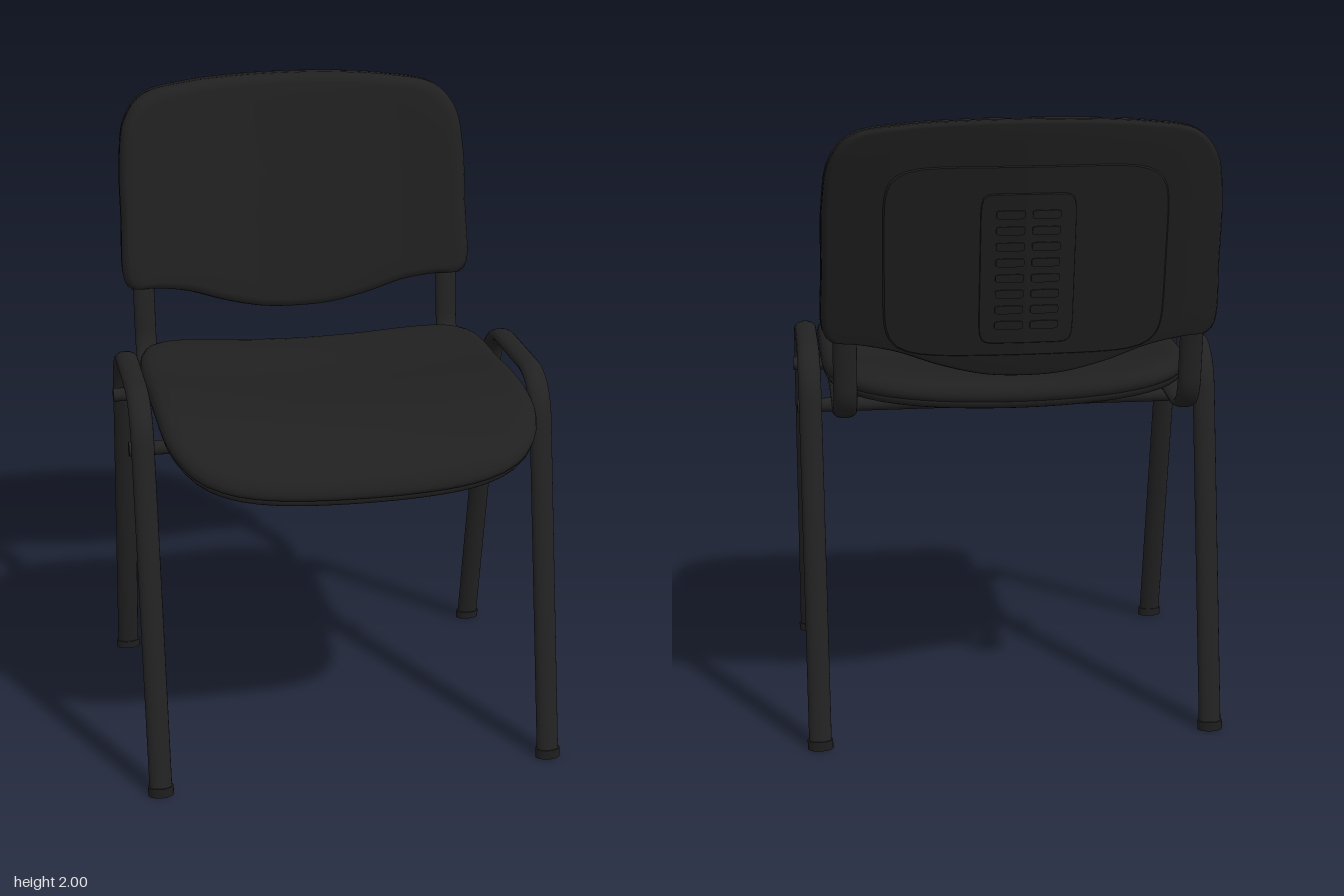
import * as THREE from 'three';

const fabric = new THREE.MeshStandardMaterial({ color: 0x202020 });
fabric.name = 'black fabric';
const metal = new THREE.MeshStandardMaterial({ color: 0x222222 });
metal.name = 'black metal';
const plastic = new THREE.MeshStandardMaterial({ color: 0x1e1e1e });
plastic.name = 'black plastic';

const v3 = (x, y, z) => new THREE.Vector3(x, y, z);

function add(parent, name, geometry, material, x = 0, y = 0, z = 0) {
  const mesh = new THREE.Mesh(geometry, material);
  mesh.name = name;
  mesh.position.set(x, y, z);
  parent.add(mesh);
  return mesh;
}

// Closed outline with rounded-rectangle character
function superellipse(cx, cy, hx, hy, n, count = 96) {
  return Array.from({ length: count }, (_, i) => {
    const a = (i / count) * Math.PI * 2, c = Math.cos(a), s = Math.sin(a);
    const r = (Math.abs(c) ** n + Math.abs(s) ** n) ** (-1 / n);
    return [cx + hx * r * c, cy + hy * r * s];
  });
}

// Stack of scaled outlines [scale, depth], bent into place by map(u, v, depth)
function cushion(outline, [cu, cv], rings, map) {
  const n = outline.length, pos = [], idx = [];
  rings.forEach(([s, d], i) => outline.forEach(([u, v], j) => {
    pos.push(...map(cu + (u - cu) * s, cv + (v - cv) * s, d));
    if (i === rings.length - 1) return;
    const a = i * n + j, b = i * n + (j + 1) % n, c = a + n, e = b + n;
    idx.push(a, c, b, b, c, e);
  }));
  const g = new THREE.BufferGeometry();
  g.setAttribute('position', new THREE.Float32BufferAttribute(pos, 3));
  g.setIndex(idx);
  g.computeVertexNormals();
  return g;
}

// Flat face as several rings, so that it can bend
const face = (d, from, to, steps = 7) => Array.from({ length: steps + 1 },
  (_, i) => [from + (to - from) * i / steps, d]);

// Oval tube in the side plane through [z, y] points, with rounded corners
function ovalTube(points, radius, bend, widen) {
  const p = points.map(([z, y]) => v3(0, y, z));
  const path = new THREE.CurvePath();
  let start = p[0];
  for (let i = 1; i < p.length - 1; i++) {
    const a = p[i].clone().add(p[i - 1].clone().sub(p[i]).setLength(bend));
    const b = p[i].clone().add(p[i + 1].clone().sub(p[i]).setLength(bend));
    path.add(new THREE.LineCurve3(start, a));
    path.add(new THREE.QuadraticBezierCurve3(a, p[i], b));
    start = b;
  }
  path.add(new THREE.LineCurve3(start, p[p.length - 1]));
  return new THREE.TubeGeometry(path, 120, radius, 16).scale(widen, 1, 1);
}

// Seat: dished across, with a front edge that rolls down
const seatProfile = new THREE.SplineCurve([[-0.42, 1.15], [-0.25, 1.155], [0, 1.145], [0.2, 1.155],
  [0.4, 1.15], [0.55, 1.115], [0.65, 1.072], [0.74, 1.025]].map(p => new THREE.Vector2(...p))).getPoints(80);
function seatHeight(z) {
  const i = Math.max(1, seatProfile.findIndex(p => p.x >= z));
  const a = seatProfile[i - 1], b = seatProfile[i];
  return a.y + (b.y - a.y) * (z - a.x) / (b.x - a.x);
}
const seatMap = (u, v, d) => [u, seatHeight(-v) + 0.05 * (u / 0.58) ** 2 - d, -v];

// Backrest: leaning backward and curved around the sitter
const backMap = (u, v, d) => [u, v, -0.48 - 0.18 * (v - 1.33) + 0.21 * u * u - d];

function backOutline() {
  const half = [[0, 1.22], [0.12, 1.227], [0.25, 1.257], [0.38, 1.3], [0.5, 1.32], [0.57, 1.326],
    [0.592, 1.36], [0.592, 1.55], [0.588, 1.75], [0.565, 1.88], [0.5, 1.955], [0.35, 1.985], [0.18, 1.997], [0, 2]];
  const other = half.slice(1, -1).reverse().map(([x, y]) => [-x, y]);
  const curve = new THREE.CatmullRomCurve3([...half, ...other].map(([x, y]) => v3(x, y, 0)), true);
  return curve.getSpacedPoints(140).slice(0, -1).map(p => [p.x, p.y]);
}

export function createModel() {
  const model = new THREE.Group();
  model.name = 'chair';

  // Seat pad and the shell beneath it
  const seat = new THREE.Group();
  seat.name = 'seat';
  model.add(seat);
  const seatLine = superellipse(0, -0.158, 0.583, 0.543, 5);
  add(seat, 'seatPad', cushion(seatLine, [0, -0.158], [...face(0, 0, 0.9, 10), [0.95, 0.004], [0.98, 0.014],
    [0.995, 0.028], [1, 0.04], [0.995, 0.053], [0.98, 0.06], ...face(0.06, 0.95, 0)], seatMap), fabric);
  add(seat, 'seatShell', cushion(seatLine, [0, -0.158], [...face(0.054, 0, 0.95), [0.985, 0.056],
    [0.988, 0.066], [0.975, 0.078], ...face(0.083, 0.95, 0, 10)], seatMap), plastic);

  // Backrest pad, shell and the raised panel on the rear
  const back = new THREE.Group();
  back.name = 'backrest';
  model.add(back);
  const line = backOutline(), mid = [0, 1.62];
  add(back, 'backPad', cushion(line, mid, [...face(0, 0, 0.92), [0.96, 0.005], [0.985, 0.016],
    [1, 0.036], [0.998, 0.052], [0.985, 0.06], ...face(0.06, 0.96, 0)], backMap), fabric);
  add(back, 'backShell', cushion(line, mid, [...face(0.055, 0, 0.96), [0.99, 0.056], [0.998, 0.064],
    [0.996, 0.085], [0.985, 0.1], ...face(0.106, 0.965, 0)], backMap), plastic);

  const plate = (name, cx, cy, hx, hy, n, d0, d1) => add(back, name, cushion(superellipse(cx, cy, hx, hy, n),
    [cx, cy], [[0, d0], [1, d0], [1, d0], [0.98, d1], [0.98, d1], ...face(d1, 0.95, 0)], backMap), plastic);
  plate('rearPanel', 0, 1.58, 0.42, 0.29, 7, 0.1, 0.113);
  plate('ventPlate', 0, 1.56, 0.14, 0.23, 12, 0.108, 0.119);
  for (let i = 0; i < 8; i++) {
    for (const x of [-0.052, 0.052]) plate('ventSlat', x, 1.39 + i * 0.048, 0.042, 0.013, 6, 0.114, 0.124);
  }

  for (const side of [-1, 1]) {
    const name = side > 0 ? 'left' : 'right';

    // Leg loop: front leg, top bend and rear leg in one oval tube
    add(model, name + 'LegLoop', ovalTube([[0.59, 0.01], [0.345, 1.208], [-0.19, 1.208], [-0.435, 0.01]],
      0.0215, 0.14, 1.65), metal, side * 0.625);

    // Foot caps follow the slant of the legs
    for (const [z, tilt] of [[0.589, -0.2], [-0.434, 0.2]]) {
      const foot = new THREE.CylinderGeometry(0.025, 0.025, 0.028, 20).scale(1.6, 1, 1);
      const p = foot.attributes.position;
      for (let i = 0; i < p.count; i++) p.setZ(i, p.getZ(i) + p.getY(i) * tilt);
      add(model, name + 'Foot', foot, plastic, side * 0.625, 0.014, z);
    }

    // Rail under the seat that bends up to carry the backrest
    add(model, name + 'BackSupport', ovalTube([[0.4, 1.092], [-0.05, 1.09], [-0.445, 1.07], [-0.472, 1.32],
      [-0.522, 1.6]], 0.018, 0.11, 2), metal, side * 0.525);
    add(model, name + 'RailEnd', new THREE.SphereGeometry(0.018, 16, 10).scale(2, 1, 0.5), metal,
      side * 0.525, 1.092, 0.4);
  }

  // Cross bars joining the leg loops
  for (const [name, z, y] of [['frontCrossBar', 0.335, 1.058], ['rearCrossBar', -0.178, 1.05]]) {
    add(model, name, new THREE.CylinderGeometry(0.022, 0.022, 1.33, 20).rotateZ(Math.PI / 2), metal, 0, y, z);
  }
  return model;
}
